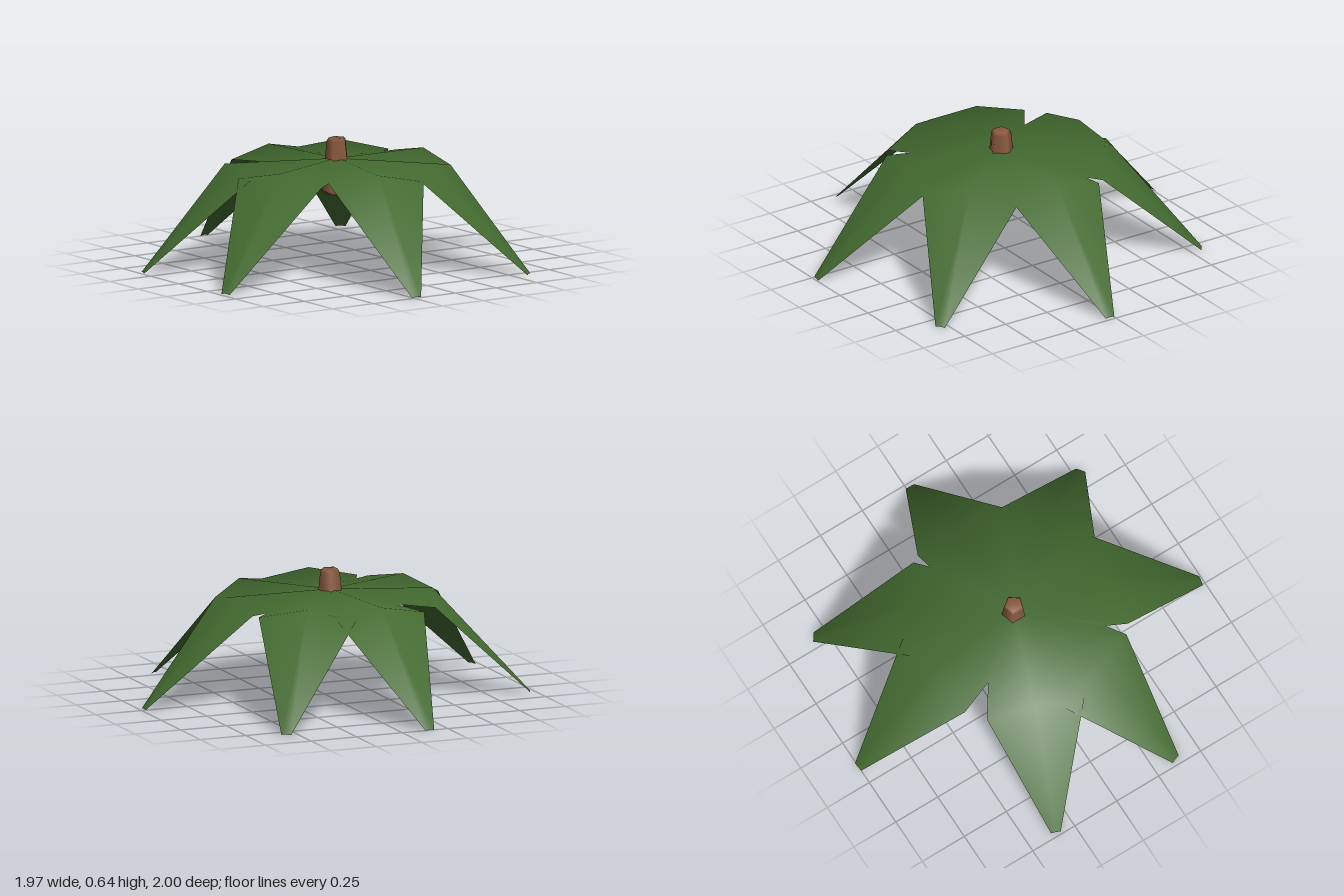
import * as THREE from 'three';

const leafGreen = new THREE.MeshStandardMaterial({ color: 0x42692f, side: THREE.DoubleSide });
leafGreen.name = 'leafGreen';
const barkBrown = new THREE.MeshStandardMaterial({ color: 0x8a5a3e });
barkBrown.name = 'barkBrown';

// One drooping frond along +x: cross-sections of [radius, ridge height, edge height, half width]
function frondGeometry() {
  const sections = [
    [0, 0.54, 0.515, 0.12],
    [0.52, 0.54, 0.49, 0.25],
    [1.01, 0.004, 0, 0.025],
  ];
  const points = [], faces = [];
  sections.forEach(([r, ridge, edge, w], i) => {
    for (const s of [-1, 0, 1]) points.push(r, s ? edge : ridge, s * w);
    if (i === 0) return;
    for (let j = 0; j < 2; j++) {
      const a = (i - 1) * 3 + j, b = a + 1, c = a + 3, d = a + 4;
      // both halves split symmetrically about the ridge
      if (j === 0) faces.push(a, b, c, b, d, c);
      else faces.push(a, b, d, a, d, c);
    }
  });
  const g = new THREE.BufferGeometry();
  g.setAttribute('position', new THREE.Float32BufferAttribute(points, 3));
  g.setIndex(faces);
  g.computeVertexNormals();
  return g;
}

export function createModel() {
  const model = new THREE.Group();
  model.name = 'palmCrown';
  const centreX = -0.03;

  // Seven fronds, slightly uneven around the crown
  const frond = frondGeometry();
  [-1.2, 54.3, 96.8, 159.8, 201.5, 258.6, 308.2].forEach((deg, i) => {
    const leaf = new THREE.Mesh(frond, leafGreen);
    leaf.name = `frond${i + 1}`;
    leaf.position.x = centreX;
    leaf.rotation.y = THREE.MathUtils.degToRad(deg);
    model.add(leaf);
  });

  // Five-sided tapered stem through the crown, bevelled at both ends
  const profile = [[0, 0.36], [0.068, 0.36], [0.079, 0.378], [0.052, 0.63], [0.042, 0.645], [0, 0.645]]
    .map(([r, y]) => new THREE.Vector2(r, y));
  const stem = new THREE.Mesh(new THREE.LatheGeometry(profile, 5, Math.PI / 2), barkBrown);
  stem.name = 'stem';
  stem.position.x = centreX;
  model.add(stem);

  return model;
}
